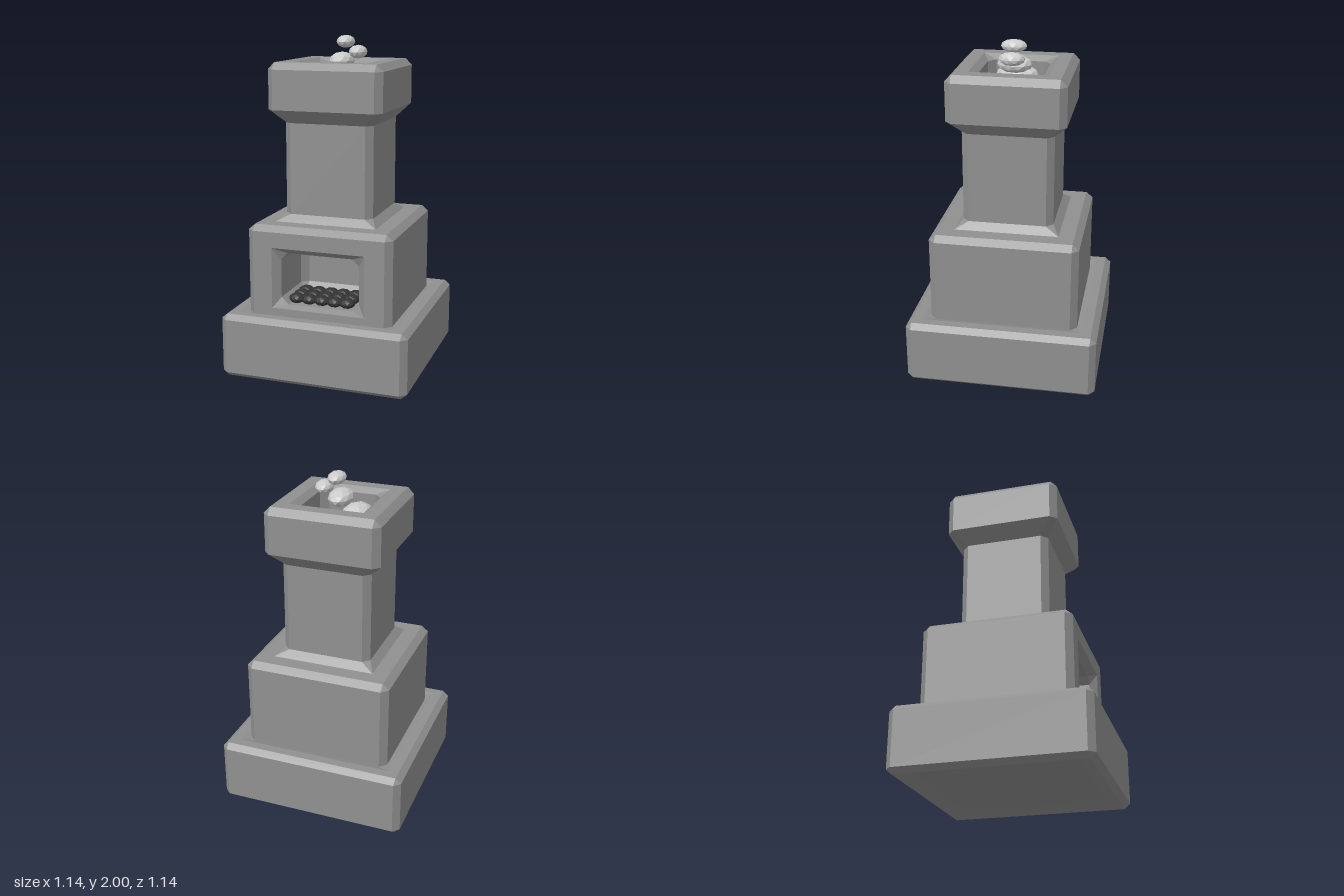
import * as THREE from 'three';

const stone = new THREE.MeshStandardMaterial({ color: 0x909090, flatShading: true });
const coalMat = new THREE.MeshStandardMaterial({ color: 0x333333, flatShading: true });
const smokeMat = new THREE.MeshStandardMaterial({ color: 0xcccccc, flatShading: true });

// Rectangle with chamfered corners, counter-clockwise seen from above; oz shifts it in z
function ring([y, hx, hz, c, oz = 0]) {
  const a = hx - c, b = hz - c;
  return [[hx, b], [hx, -b], [a, -hz], [-a, -hz], [-hx, -b], [-hx, b], [-a, hz], [a, hz]]
    .map(([x, z]) => new THREE.Vector3(x, y, z + oz));
}

// Skin over chamfered rings; skip = index of the ring whose front face is left open
function loft(profile, { start = false, end = false, skip = -1 } = {}) {
  const rings = profile.map(ring), pos = [];
  const tri = (a, b, c) => {
    if (new THREE.Triangle(a, b, c).getArea() > 1e-7) for (const p of [a, b, c]) pos.push(p.x, p.y, p.z);
  };
  for (let r = 0; r < rings.length - 1; r++) {
    for (let i = 0; i < 8; i++) {
      if (r === skip && i === 6) continue;
      const j = (i + 1) % 8, lo = rings[r], hi = rings[r + 1];
      tri(lo[i], lo[j], hi[j]);
      tri(lo[i], hi[j], hi[i]);
    }
  }
  const first = rings[0], last = rings[rings.length - 1];
  for (let i = 1; i < 7; i++) {
    if (start) tri(first[0], first[i + 1], first[i]);
    if (end) tri(last[0], last[i], last[i + 1]);
  }
  const g = new THREE.BufferGeometry();
  g.setAttribute('position', new THREE.Float32BufferAttribute(pos, 3));
  g.computeVertexNormals();
  return g;
}

const square = (rows) => rows.map(([y, h, c]) => [y, h, h, c]);

export function createModel() {
  const model = new THREE.Group();
  model.name = 'furnace';
  const add = (name, geometry, material = stone, parent = model) => {
    const mesh = new THREE.Mesh(geometry, material);
    mesh.name = name;
    parent.add(mesh);
    return mesh;
  };

  // Plinth with a shallow recess underneath
  add('base', loft(square([
    [0.03, 0.46, 0], [0, 0.535, 0], [0.03, 0.57, 0.037], [0.357, 0.57, 0.037],
    [0.387, 0.535, 0], [0.387, 0.48, 0],
  ]), { start: true }));

  // Hearth block, with its front face open for the firebox
  add('hearthBlock', loft(square([
    [0.387, 0.48, 0], [0.375, 0.443, 0.04], [0.88, 0.443, 0.04], [0.914, 0.403, 0], [0.914, 0.31, 0],
  ]), { skip: 1 }));

  // Front panel around the firebox opening
  const cy = 0.603, ox = 0.285, oy = 0.183;
  const panel = new THREE.Shape([[-0.403, 0.375], [0.403, 0.375], [0.403, 0.88], [-0.403, 0.88]]
    .map(([x, y]) => new THREE.Vector2(x, y)));
  panel.holes.push(new THREE.Path([[-ox, cy - oy], [-ox, cy + oy], [ox, cy + oy], [ox, cy - oy]]
    .map(([x, y]) => new THREE.Vector2(x, y))));
  add('frontPanel', new THREE.ShapeGeometry(panel)).position.z = 0.443;

  // Firebox recess, lofted inwards from the panel
  const firebox = add('firebox', loft([
    [0.443, ox, oy, 0], [0.4, 0.241, 0.157, 0.042, 0.009],
    [0.09, 0.241, 0.157, 0.042, 0.009], [0.05, 0.2, 0.115, 0, 0.009],
  ], { end: true }));
  firebox.rotation.x = Math.PI / 2;
  firebox.position.y = cy;

  // Chimney shaft
  add('chimney', loft(square([[0.914, 0.31, 0], [0.957, 0.27, 0.04], [1.5, 0.27, 0.04]])));

  // Flared cap with a sunken flue
  add('chimneyCap', loft(square([
    [1.5, 0.27, 0.04], [1.58, 0.346, 0.04], [1.812, 0.346, 0.04], [1.852, 0.307, 0],
    [1.852, 0.226, 0], [1.822, 0.188, 0.043], [1.66, 0.188, 0.043], [1.62, 0.145, 0],
  ]), { end: true }));

  // Faceted ball with a corner pointing straight up
  const lump = new THREE.IcosahedronGeometry(1, 1).rotateX(-1.0172);

  // Bed of coals
  const coals = new THREE.Group();
  coals.name = 'coals';
  model.add(coals);
  for (let row = 0; row < 3; row++) {
    for (let col = 0; col < 5; col++) {
      const coal = add('coal', lump, coalMat, coals);
      coal.position.set(-0.165 + col * 0.079, 0.464, 0.345 - row * 0.08);
      coal.scale.set(0.049, 0.031, 0.045);
    }
  }

  // Smoke puffs: centre x, y, then radii x, y, z
  const smoke = new THREE.Group();
  smoke.name = 'smoke';
  model.add(smoke);
  for (const [x, y, rx, ry, rz] of [
    [-0.1, 1.757, 0.09, 0.068, 0.131],
    [0, 1.85, 0.072, 0.052, 0.105],
    [0.1, 1.903, 0.053, 0.04, 0.077],
    [0.024, 1.962, 0.053, 0.038, 0.077],
  ]) {
    const puff = add('smokePuff', lump, smokeMat, smoke);
    puff.position.set(x, y, 0);
    puff.scale.set(rx, ry, rz);
  }
  return model;
}
